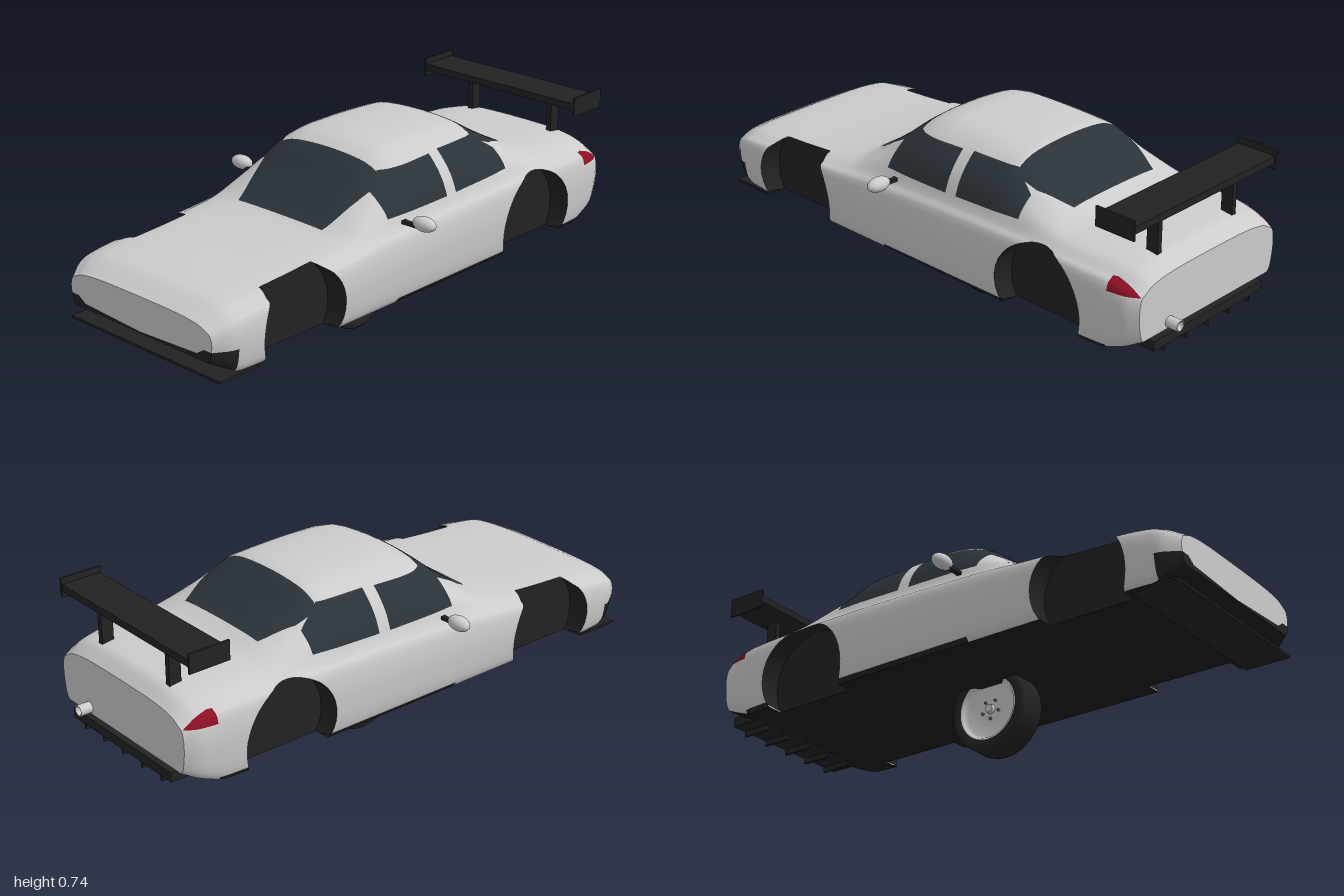
import * as THREE from 'three';

const GREY = 0xcccccc, BLACK = 0x222222, GLASS = 0x2b3339;
const mat = (color) => new THREE.MeshStandardMaterial({ color, side: THREE.DoubleSide });

// Monotone curve through [z, value] keys
function curve(keys) {
  const slope = (i) => (keys[i + 1][1] - keys[i][1]) / (keys[i + 1][0] - keys[i][0]);
  const tangent = (i) => {
    if (i === 0) return slope(0);
    if (i === keys.length - 1) return slope(i - 1);
    const a = slope(i - 1), b = slope(i);
    return a * b <= 0 ? 0 : (2 * a * b) / (a + b);
  };
  return (z) => {
    let i = 0;
    while (i < keys.length - 2 && z > keys[i + 1][0]) i++;
    const w = keys[i + 1][0] - keys[i][0], t = (z - keys[i][0]) / w, u = 1 - t;
    return u * u * (1 + 2 * t) * keys[i][1] + t * t * (3 - 2 * t) * keys[i + 1][1]
      + w * t * u * (u * tangent(i) - t * tangent(i + 1));
  };
}

// Body outline along its length: centre top, shoulder, half width, underside
const top = curve([[-0.955, 0.51], [-0.9, 0.553], [-0.63, 0.572], [-0.55, 0.6], [-0.45, 0.655], [-0.31, 0.728],
  [-0.1, 0.736], [0, 0.735], [0.07, 0.725], [0.14, 0.694], [0.25, 0.605], [0.39, 0.515], [0.6, 0.487], [0.9, 0.467], [1, 0.425]]);
const shoulder = curve([[-0.955, 0.46], [-0.8, 0.49], [-0.5, 0.495], [0.2, 0.475], [0.4, 0.46], [0.9, 0.425], [1, 0.39]]);
const width = curve([[-0.955, 0.345], [-0.9, 0.37], [-0.7, 0.385], [0, 0.388], [0.8, 0.388], [0.93, 0.378], [1, 0.34]]);
const under = curve([[-0.955, 0.305], [-0.87, 0.265], [-0.8, 0.245], [0.9, 0.245], [0.93, 0.258], [1, 0.295]]);

// Half cross-section from the lower edge up to the centre line
function section(z) {
  const T = top(z), S = shoulder(z), W = width(z), B = under(z), h = T - S;
  const power = THREE.MathUtils.lerp(0.4, 1, Math.min(1, h / 0.2));
  const low = [[0.93, 0], [0.965, 0.1], [0.99, 0.35], [1, 0.7], [0.975, 1]];
  const high = [[0.91, 0.12], [0.83, 0.43], [0.73, 0.65], [0.62, 0.81], [0.45, 0.94], [0.2, 0.99], [0, 1]];
  const pts = [...low.map(([x, f]) => new THREE.Vector2(x * W, B + f * (S - B))),
    ...high.map(([x, f]) => new THREE.Vector2(x * W, S + f ** power * h))];
  return new THREE.SplineCurve(pts).getPoints(33);
}

// Surface through rows of [x, y, z], returned as triangles of [position, normal]
function loft(rows) {
  const n = rows[0].length, index = [];
  for (let i = 0; i < rows.length - 1; i++) for (let j = 0; j < n - 1; j++) {
    const a = i * n + j, c = a + n;
    index.push(a, c, a + 1, a + 1, c, c + 1);
  }
  const g = new THREE.BufferGeometry();
  g.setAttribute('position', new THREE.Float32BufferAttribute(rows.flat(2), 3));
  g.setIndex(index);
  g.computeVertexNormals();
  const p = g.attributes.position.array, m = g.attributes.normal.array, tris = [];
  const vertex = (k) => [...p.slice(3 * k, 3 * k + 3), ...m.slice(3 * k, 3 * k + 3)];
  for (let i = 0; i < index.length; i += 3) tris.push([0, 1, 2].map((k) => vertex(index[i + k])));
  return tris;
}

// Cut triangles where rule(x, y, z) changes sign; negative is inside
function split(tris, rule) {
  const inside = [], outside = [];
  const fan = (poly, list) => { for (let i = 1; i < poly.length - 1; i++) list.push([poly[0], poly[i], poly[i + 1]]); };
  for (const t of tris) {
    const d = t.map((v) => rule(Math.abs(v[0]), v[1], v[2])), a = [], b = [];
    t.forEach((v, i) => {
      const j = (i + 1) % 3;
      (d[i] < 0 ? a : b).push(v);
      if ((d[i] < 0) !== (d[j] < 0)) {
        const s = d[i] / (d[i] - d[j]), mid = v.map((q, k) => q + s * (t[j][k] - q));
        a.push(mid);
        b.push(mid);
      }
    });
    fan(a, inside);
    fan(b, outside);
  }
  return [inside, outside];
}
function carve(tris, rules) {
  let rest = [];
  for (const rule of rules) {
    const [inside, outside] = split(tris, rule);
    tris = inside;
    rest = rest.concat(outside);
  }
  return [tris, rest];
}

// Convex outline as half-plane rules; pick chooses two of (x, y, z)
function outline(points, pick) {
  const cx = points.reduce((s, p) => s + p[0], 0) / points.length;
  const cy = points.reduce((s, p) => s + p[1], 0) / points.length;
  return points.map((p, i) => {
    const q = points[(i + 1) % points.length];
    const side = (a, b) => (q[0] - p[0]) * (b - p[1]) - (q[1] - p[1]) * (a - p[0]);
    const sign = -Math.sign(side(cx, cy));
    return (x, y, z) => sign * side(...pick(x, y, z));
  });
}

function skinMesh(name, tris, color) {
  const g = new THREE.BufferGeometry(), flat = tris.flat();
  g.setAttribute('position', new THREE.Float32BufferAttribute(flat.flatMap((v) => v.slice(0, 3)), 3));
  g.setAttribute('normal', new THREE.Float32BufferAttribute(flat.flatMap((v) => v.slice(3)), 3));
  const mesh = new THREE.Mesh(g, mat(color));
  mesh.name = name;
  return mesh;
}

export function createModel() {
  const car = new THREE.Group();
  car.name = 'car';
  const add = (name, geometry, color, x, y, z, parent = car) => {
    const mesh = new THREE.Mesh(geometry, mat(color));
    mesh.name = name;
    mesh.position.set(x, y, z);
    parent.add(mesh);
    return mesh;
  };
  const box = (name, w, h, d, x, y, z, color = BLACK) => add(name, new THREE.BoxGeometry(w, h, d), color, x, y, z);

  // Body shell with flat nose and tail, and the floor
  const rows = [], floorRows = [];
  for (let i = 0; i <= 130; i++) {
    const z = -0.955 + 1.955 * i / 130, half = section(z);
    rows.push([...half.map((p) => [-p.x, p.y, z]), ...half.slice(0, -1).reverse().map((p) => [p.x, p.y, z])]);
    floorRows.push([1, 0.8, 0.5, 0, -0.5, -0.8, -1].map((f) => [f * half[0].x, half[0].y, z]));
  }
  const centre = (row) => row.map((p) => [0, row[0][1], p[2]]);
  let skin = [...loft(rows), ...loft([rows.at(-1), centre(rows.at(-1))]), ...loft([centre(rows[0]), rows[0]])];
  let floor = loft(floorRows);

  // Wheel wells
  const wells = { front: 0.632, rear: -0.552 }, R = 0.185, wellY = 0.332, inner = 0.3;
  for (const [end, zc] of Object.entries(wells)) {
    const rules = [(x) => inner - x, (x, y, z) => Math.hypot(y - wellY, z - zc) - R];
    skin = carve(skin, rules)[1];
    floor = carve(floor, rules)[1];
    const lines = [[], [], []];
    for (let i = 0; i <= 72; i++) {
      const a = 2 * Math.PI * i / 72, z = zc + R * Math.cos(a), half = section(z);
      const roof = half.find((p, k) => k > 16 && p.x <= inner).y;
      const y = THREE.MathUtils.clamp(wellY + R * Math.sin(a), under(z), roof);
      const k = Math.max(1, half.findIndex((p) => p.y >= y)), p = half[k - 1], q = half[k];
      const t = THREE.MathUtils.clamp((y - p.y) / (q.y - p.y), 0, 1);
      lines[0].push([inner, wellY, zc]);
      lines[1].push([inner, y, z]);
      lines[2].push([y <= under(z) + 0.001 ? inner : Math.max(inner, p.x + t * (q.x - p.x)), y, z]);
    }
    for (const s of [1, -1]) {
      const place = (line) => line.map(([x, y, z]) => [s * x, y, z]);
      const parts = [[0, 1], [1, 2]].flatMap(([a, b]) =>
        loft(s > 0 ? [place(lines[b]), place(lines[a])] : [place(lines[a]), place(lines[b])]));
      car.add(skinMesh(`${end}WheelWell`, parts, BLACK));
    }
  }

  // Glass, lamps and trim cut out of the shell
  const plan = (x, y, z) => [x, z], profile = (x, y, z) => [z, y];
  const panels = [
    ['windscreen', GLASS, outline([[-1, 0.37], [0.2, 0.37], [0.25, 0.19], [0.26, 0.13], [-1, 0.13]], plan)],
    ['rearWindow', GLASS, outline([[-1, -0.55], [0.2, -0.55], [0.25, -0.43], [0.26, -0.34], [-1, -0.34]], plan)],
    ['frontSideWindows', GLASS, outline([[0.19, 0.54], [0.192, 0.62], [0.126, 0.67], [-0.1, 0.678], [-0.1, 0.544]], profile)],
    ['rearSideWindows', GLASS, outline([[-0.147, 0.546], [-0.147, 0.682], [-0.335, 0.682], [-0.426, 0.62], [-0.426, 0.555]], profile)],
    ['headlights', 0xf4f4f4, [(x) => 0.28 - x, (x, y) => 0.41 - y, (x, y, z) => 0.88 - z]],
    ['tailLights', 0x8c1024, [(x) => 0.335 - x, (x, y) => 0.465 - y, (x, y) => y - 0.508, (x, y, z) => z + 0.84]],
    ['frontIntakes', BLACK, [(x, y, z) => 0.92 - z, (x, y) => y - 0.335, (x, y) => 0.25 - x + 1.5 * Math.max(0, y - 0.3)]],
    ['lowerGrille', BLACK, [(x, y, z) => 0.92 - z, (x, y) => y - 0.3 - 0.05 * x]],
    ['sills', BLACK, [(x, y) => y - 0.262, (x, y, z) => z - 0.18, (x, y, z) => -0.83 - z]],
  ];
  for (const [name, color, rules] of panels) {
    const [cut, rest] = carve(skin, rules);
    skin = rest;
    car.add(skinMesh(name, cut, color));
  }
  car.add(skinMesh('body', skin, GREY), skinMesh('floor', floor, 0x1c1c1c));

  // Rear wing
  box('wingBlade', 0.72, 0.026, 0.15, 0, 0.7, -0.857);
  for (const s of [1, -1]) {
    box('wingEndPlate', 0.008, 0.07, 0.156, s * 0.358, 0.701, -0.857);
    box('wingPost', 0.02, 0.15, 0.045, s * 0.19, 0.62, -0.877);
    // Door mirrors
    box('mirrorArm', 0.07, 0.012, 0.018, s * 0.385, 0.521, 0.132);
    add('mirror', new THREE.SphereGeometry(1, 28, 18), GREY, s * 0.437, 0.533, 0.125).scale.set(0.047, 0.026, 0.028);
  }

  // Splitter, diffuser and exhaust
  box('frontSplitter', 0.72, 0.009, 0.17, 0, 0.236, 0.905);
  box('diffuser', 0.56, 0.035, 0.125, 0, 0.275, -0.9025);
  for (let i = -2; i <= 2; i++) box('diffuserFin', 0.008, 0.025, 0.12, i * 0.11, 0.248, -0.902);
  const pipe = [[0.013, -0.02], [0.02, -0.02], [0.02, 0.03], [0.015, 0.03], [0.014, -0.01], [0, -0.01]];
  add('exhaust', new THREE.LatheGeometry(pipe.map(([r, h]) => new THREE.Vector2(r, h)), 24), GREY, 0.195, 0.328, -0.97)
    .rotation.x = -Math.PI / 2;

  // Wheel under the middle of the floor
  const wheel = new THREE.Group();
  wheel.name = 'wheel';
  wheel.position.set(0, 0.155, 0.03);
  wheel.rotation.z = -Math.PI / 2;
  const lathe = (pts) => new THREE.LatheGeometry(pts.map(([r, h]) => new THREE.Vector2(r, h)), 48);
  const shoulderPts = [[0.155, 0.042], [0.153, 0.052], [0.145, 0.06], [0.125, 0.06], [0.115, 0.052]];
  add('tyre', lathe([...shoulderPts.map(([r, h]) => [r, -h]).reverse(), ...shoulderPts]), BLACK, 0, 0, 0, wheel);
  for (const s of [1, -1]) {
    const rim = new THREE.Group();
    rim.name = 'rim';
    rim.rotation.x = s > 0 ? 0 : Math.PI;
    add('rimDish', lathe([[0.117, 0.054], [0.11, 0.052], [0.1, 0.03], [0.04, 0.034], [0, 0.034]]), GREY, 0, 0, 0, rim);
    add('hubCap', new THREE.CylinderGeometry(0.015, 0.018, 0.016, 24), GREY, 0, 0.04, 0, rim);
    for (let i = 0; i < 5; i++) {
      const a = 2 * Math.PI * i / 5;
      add('wheelBolt', new THREE.CylinderGeometry(0.005, 0.005, 0.01, 8), 0x777777,
        0.035 * Math.cos(a), 0.037, 0.035 * Math.sin(a), rim);
    }
    wheel.add(rim);
  }
  car.add(wheel);
  return car;
}
